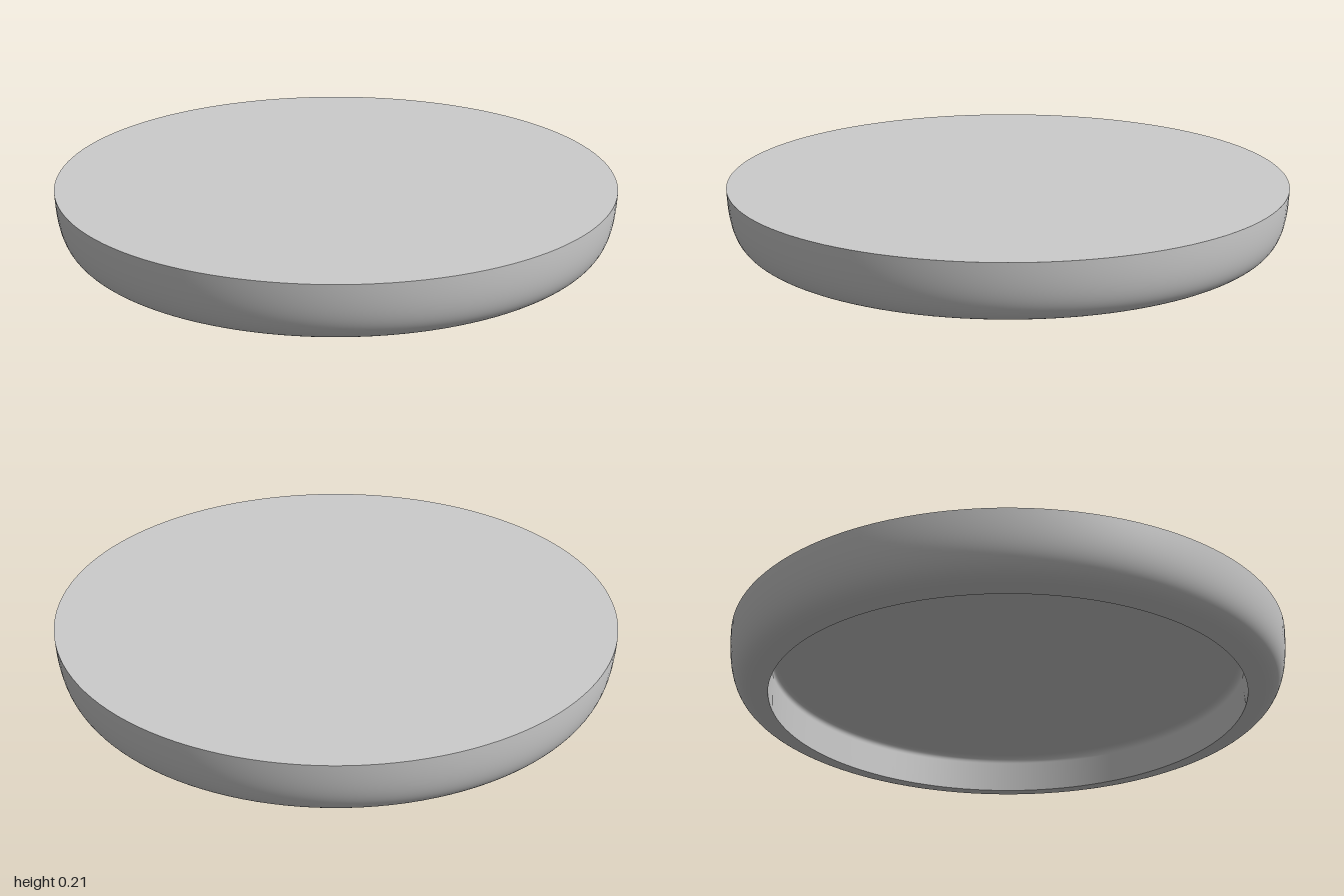
import * as THREE from 'three';

const SEGMENTS = 128;
const HEIGHT = 0.214;    // overall height
const BORE = 0.855;      // radius of the underside recess
const CEILING = 0.15;    // height of the recess ceiling
const FILLET = 0.025;    // small round where wall meets ceiling

const v = (x, y) => new THREE.Vector2(x, y);

export function createModel() {
  const group = new THREE.Group();
  group.name = 'roundCap';
  const material = new THREE.MeshStandardMaterial({ color: 0xcccccc });

  // Each surface is its own lathe, so the edges between them stay sharp
  const addLathe = (name, points) => {
    const mesh = new THREE.Mesh(new THREE.LatheGeometry(points, SEGMENTS), material);
    mesh.name = name;
    group.add(mesh);
  };

  // Flat lid on top
  addLathe('topFace', [v(1, HEIGHT), v(0, HEIGHT)]);

  // Outer wall, rolling softly under to the bottom rim
  const side = new THREE.CubicBezierCurve(
    v(BORE, 0), v(0.95, 0), v(0.998, 0.02), v(1, HEIGHT));
  addLathe('outerWall', side.getPoints(32));

  // Recess underneath: flat ceiling, small fillet, straight inner wall
  const recess = [v(0, CEILING), v(BORE - FILLET - 0.005, CEILING)];
  for (let i = 0; i <= 6; i++) {
    const a = (1 - i / 6) * Math.PI / 2;
    recess.push(v(
      BORE - FILLET + FILLET * Math.cos(a),
      CEILING - FILLET + FILLET * Math.sin(a)));
  }
  recess.push(v(BORE, CEILING - FILLET - 0.005), v(BORE, 0));
  addLathe('undersideRecess', recess);

  return group;
}
